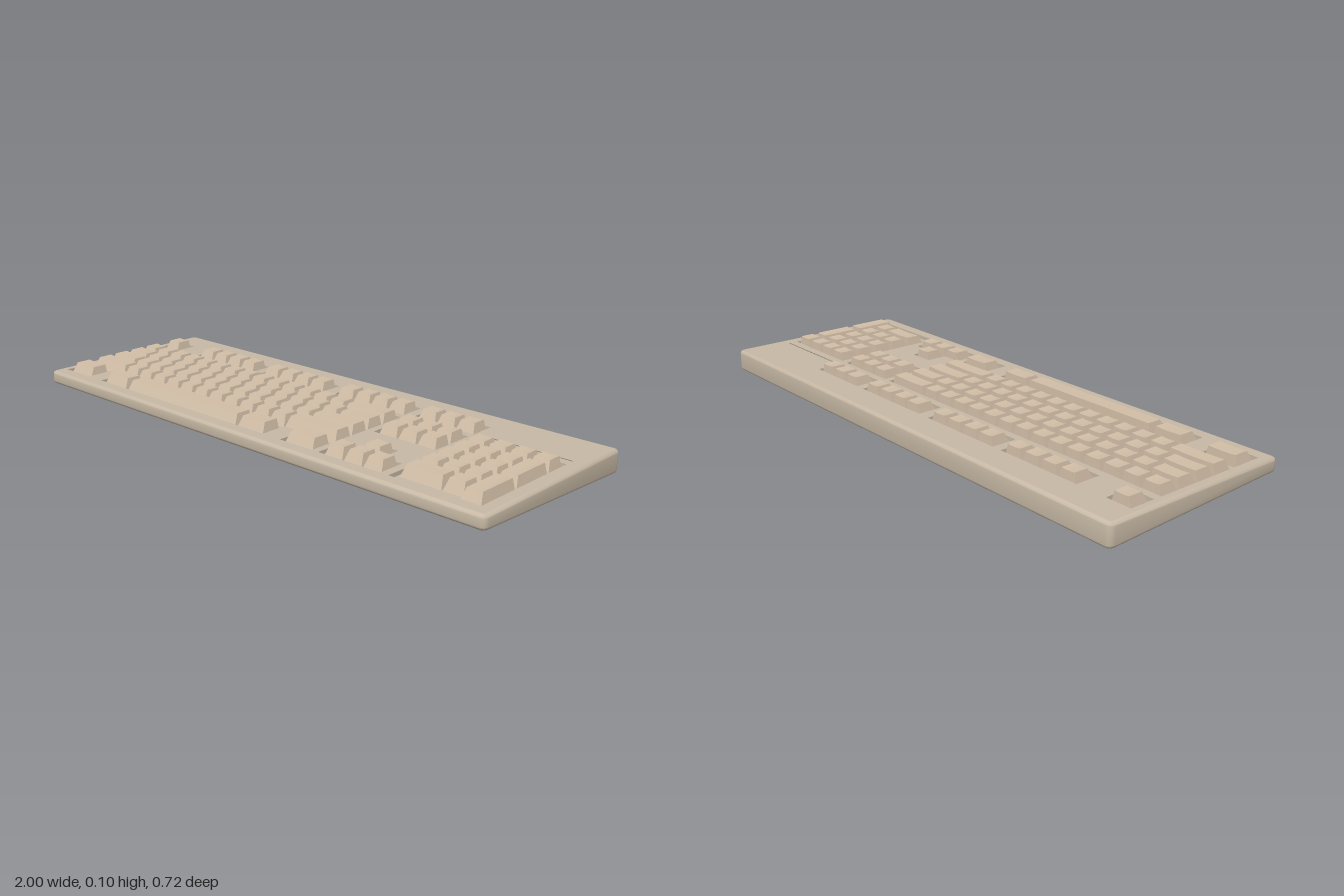
import * as THREE from 'three';
import { mergeVertices, toCreasedNormals } from 'three/addons/utils/BufferGeometryUtils.js';

const U = 0.0777;            // key pitch
const HX = 1, HZ = 0.36;     // half width and half depth of the case
const TOP = 0.08, FLOOR = 0.066, KEY_TOP = 0.105, R = 0.012;
const L = -0.959, MAIN_END = 0.311, NAV = 0.353, PAD = 0.632;
const Z_FN = -0.24, Z_ROW = -0.118, Z_LAST = 0.216;

const caseMat = new THREE.MeshStandardMaterial({ color: 0xc6b8a4 });
const keyMat = new THREE.MeshStandardMaterial({ color: 0xd0bda6, flatShading: true });
const grooveMat = new THREE.MeshStandardMaterial({ color: 0x8f8576 });

function mesh(name, geometry, material) {
  const m = new THREE.Mesh(geometry, material);
  m.name = name;
  return m;
}

// Corner points of a rounded rectangle, as [x, z], pulled in by inset
function outline(inset) {
  const r = Math.max(0.004, 0.02 - inset), hx = HX - inset - r, hz = HZ - inset - r;
  const pts = [];
  [[1, 1], [-1, 1], [-1, -1], [1, -1]].forEach(([sx, sz], q) => {
    for (let i = 0; i <= 4; i++) {
      const a = (q + i / 4) * Math.PI / 2;
      pts.push([sx * hx + r * Math.cos(a), sz * hz + r * Math.sin(a)]);
    }
  });
  return pts;
}

// Wedge shell: rounded edges, sloping underside, open at the top
function shellGeometry() {
  const bottom = z => 0.032 * (z + HZ) / (2 * HZ);
  const rings = [];
  for (let i = 0; i <= 4; i++) {
    const a = i / 4 * Math.PI / 2;
    rings.push([R * (1 - Math.sin(a)), z => bottom(z) + R * (1 - Math.cos(a))]);
  }
  for (let i = 0; i <= 4; i++) {
    const a = i / 4 * Math.PI / 2;
    rings.push([R * (1 - Math.cos(a)), () => TOP - R * (1 - Math.sin(a))]);
  }
  const pos = [], idx = [], n = 20;
  for (const [inset, y] of rings) for (const [x, z] of outline(inset)) pos.push(x, y(z), z);
  for (let r = 0; r < rings.length - 1; r++) {
    for (let i = 0; i < n; i++) {
      const a = r * n + i, b = r * n + (i + 1) % n;
      idx.push(a, a + n, b, b, a + n, b + n);
    }
  }
  const centre = pos.length / 3;
  pos.push(0, bottom(0), 0);
  for (let i = 0; i < n; i++) idx.push(centre, i, (i + 1) % n);
  const g = new THREE.BufferGeometry();
  g.setAttribute('position', new THREE.Float32BufferAttribute(pos, 3));
  g.setIndex(idx);
  return toCreasedNormals(mergeVertices(g), 0.6);
}

const toPath = (pts, Type) => new Type(pts.map(([x, z]) => new THREE.Vector2(x, -z)));
const rect = (x0, z0, x1, z1) => [[x0, z0], [x0, z1], [x1, z1], [x1, z0]];

// Openings in the top plate, one per key cluster
function wells() {
  const p = 0.008, z0 = Z_ROW - p, z1 = Z_LAST + U + p + 0.006;
  const fn = (x, n) => rect(x - p, Z_FN - p, x + n * U + p, Z_FN + U + p);
  const step = Z_LAST - p, right = MAIN_END + p;
  return [
    fn(L, 1), fn(-0.75, 4), fn(-0.386, 4), fn(-0.011, 4), fn(NAV, 3),
    // main block, with the two gaps in its bottom row
    [[L - p, z0], [L - p, z1], [-0.83, z1], [-0.83, step], [-0.755, step], [-0.755, z1],
      [0.102, z1], [0.102, step], [0.18, step], [0.18, z1], [right, z1], [right, z0]],
    rect(NAV - p, z0, NAV + 3 * U + p, Z_ROW + 2 * U + p),
    // inverted T of the arrow keys
    [[NAV - p, step], [NAV - p, z1], [NAV + 3 * U + p, z1], [NAV + 3 * U + p, step],
      [NAV + 2 * U + p, step], [NAV + 2 * U + p, step - U], [NAV + U - p, step - U], [NAV + U - p, step]],
    rect(PAD - p, z0, PAD + 4 * U + p, z1),
  ];
}

// Keycap: vertical back, slanted front, tapered sides, shallow dished top
function keycap(x, z, w, d = U) {
  const gap = 0.002, flat = w > 0.3;
  const g = new THREE.BoxGeometry(1, 1, 1, flat ? 1 : 4, 1, 1);
  const p = g.attributes.position;
  for (let i = 0; i < p.count; i++) {
    const u = p.getX(i) * 2, v = p.getZ(i), up = p.getY(i) > 0;
    const half = w / 2 - gap - (up ? 0.01 : 0);
    const back = z + gap + (up ? 0.002 : 0), front = z + d - gap - (up ? 0.021 : 0);
    const dish = flat ? 0 : 0.002 * (1 - u * u);
    p.setXYZ(i, x + w / 2 + u * half, up ? KEY_TOP - dish : FLOOR - 0.002, v < 0 ? back : front);
  }
  g.computeVertexNormals();
  return mesh('key', g, keyMat);
}

export function createModel() {
  const model = new THREE.Group();
  model.name = 'keyboard';

  // Case
  const body = new THREE.Group();
  body.name = 'case';
  body.add(mesh('caseShell', shellGeometry(), caseMat));
  const plateShape = toPath(outline(R), THREE.Shape);
  plateShape.holes = wells().map(w => toPath(w, THREE.Path));
  const plate = new THREE.ExtrudeGeometry(plateShape, { depth: TOP - FLOOR + 0.001, bevelEnabled: false });
  plate.rotateX(-Math.PI / 2).translate(0, FLOOR - 0.001, 0);
  body.add(mesh('topPlate', plate, caseMat));
  const floor = new THREE.PlaneGeometry(1.94, 0.66).rotateX(-Math.PI / 2).translate(0, FLOOR, 0);
  body.add(mesh('wellFloor', floor, caseMat));
  // Fine line above the number pad
  const line = new THREE.BoxGeometry(0.326, 0.002, 0.004).translate(0.787, TOP, -0.16);
  body.add(mesh('indicatorLine', line, grooveMat));
  model.add(body);

  const cluster = name => {
    const g = new THREE.Group();
    g.name = name;
    model.add(g);
    return g;
  };
  const run = (group, x, z, n) => {
    for (let i = 0; i < n; i++) group.add(keycap(x + i * U, z, U));
  };

  // Function row
  const fn = cluster('functionKeys');
  for (const [x, n] of [[L, 1], [-0.75, 4], [-0.386, 4], [-0.011, 4], [NAV, 3]]) run(fn, x, Z_FN, n);

  // Main rows: width of the first key, then the number of single keys; the last fills the row
  const main = cluster('mainKeys');
  [[1, 13], [1.5, 13], [1.84, 12], [2.4, 11]].forEach(([first, n], r) => {
    const z = Z_ROW + r * U, x = L + first * U, end = x + n * U;
    main.add(keycap(L, z, first * U));
    run(main, x, z, n);
    main.add(keycap(end, z, MAIN_END - end));
  });
  for (const [x, w] of [[L, 0.125], [-0.75, 0.125], [-0.035, 0.125], [MAIN_END - 0.125, 0.125]]) {
    main.add(keycap(x, Z_LAST, w, 0.081));
  }
  const space = keycap(-0.618, Z_LAST, 0.578, 0.081);
  space.name = 'spaceBar';
  main.add(space);

  // Navigation and arrows
  const nav = cluster('navigationKeys');
  run(nav, NAV, Z_ROW, 3);
  run(nav, NAV, Z_ROW + U, 3);
  const arrows = cluster('arrowKeys');
  run(arrows, NAV + U, Z_LAST - U, 1);
  run(arrows, NAV, Z_LAST, 3);

  // Number pad with two tall keys and one wide key
  const pad = cluster('numberPad');
  run(pad, PAD, Z_ROW, 4);
  for (let r = 1; r < 4; r++) run(pad, PAD, Z_ROW + r * U, 3);
  pad.add(keycap(PAD, Z_ROW + 4 * U, 2 * U));
  run(pad, PAD + 2 * U, Z_ROW + 4 * U, 1);
  pad.add(keycap(PAD + 3 * U, Z_ROW + U, U, 0.166));
  pad.add(keycap(PAD + 3 * U, 0.126, U, 0.171));

  return model;
}
